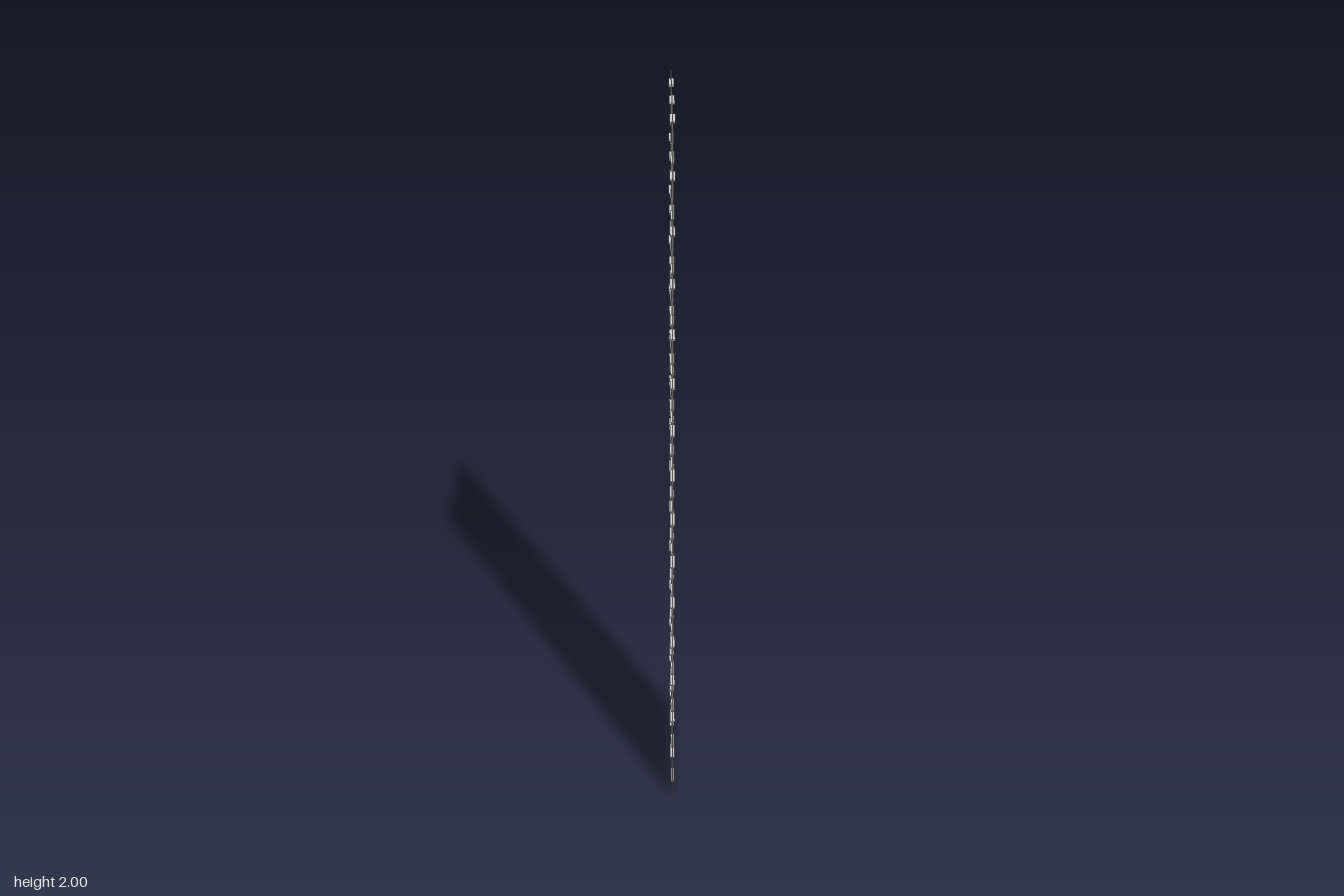
import * as THREE from 'three';

const material = new THREE.MeshStandardMaterial({ color: 0xcccccc, flatShading: true });

// Box given by its size and centre in the z-y plane, straddling the panel
function addBar(parent, name, depth, height, width, y, z) {
  const bar = new THREE.Mesh(new THREE.BoxGeometry(depth, height, width), material);
  bar.name = name;
  bar.position.set(0, y, z);
  parent.add(bar);
}

// Thin frame with a deep lintel on top and a shallower sill below
function makeWindow() {
  const win = new THREE.Group();
  win.name = 'window';
  const width = 0.056, height = 0.094;
  addBar(win, 'lintel', 0.013, 0.004, width, height, 0);
  addBar(win, 'sill', 0.009, 0.003, width, 0, 0);
  addBar(win, 'crossRail', 0.004, 0.002, width, height * 0.4, 0);
  for (const side of [-1, 1]) {
    addBar(win, 'jamb', 0.004, height, 0.002, height / 2, side * (width / 2 - 0.001));
  }
  return win;
}

export function createModel() {
  const model = new THREE.Group();
  model.name = 'facade';

  // Tall thin wall
  addBar(model, 'wallPanel', 0.002, 2, 0.4, 1, 0);

  // Fifteen storeys of three windows
  const storeys = 15;
  for (let row = 0; row < storeys; row++) {
    for (const z of [-0.134, -0.001, 0.132]) {
      const win = makeWindow();
      win.position.set(0, 0.028 + row * (2 / storeys), z);
      model.add(win);
    }
  }
  return model;
}
